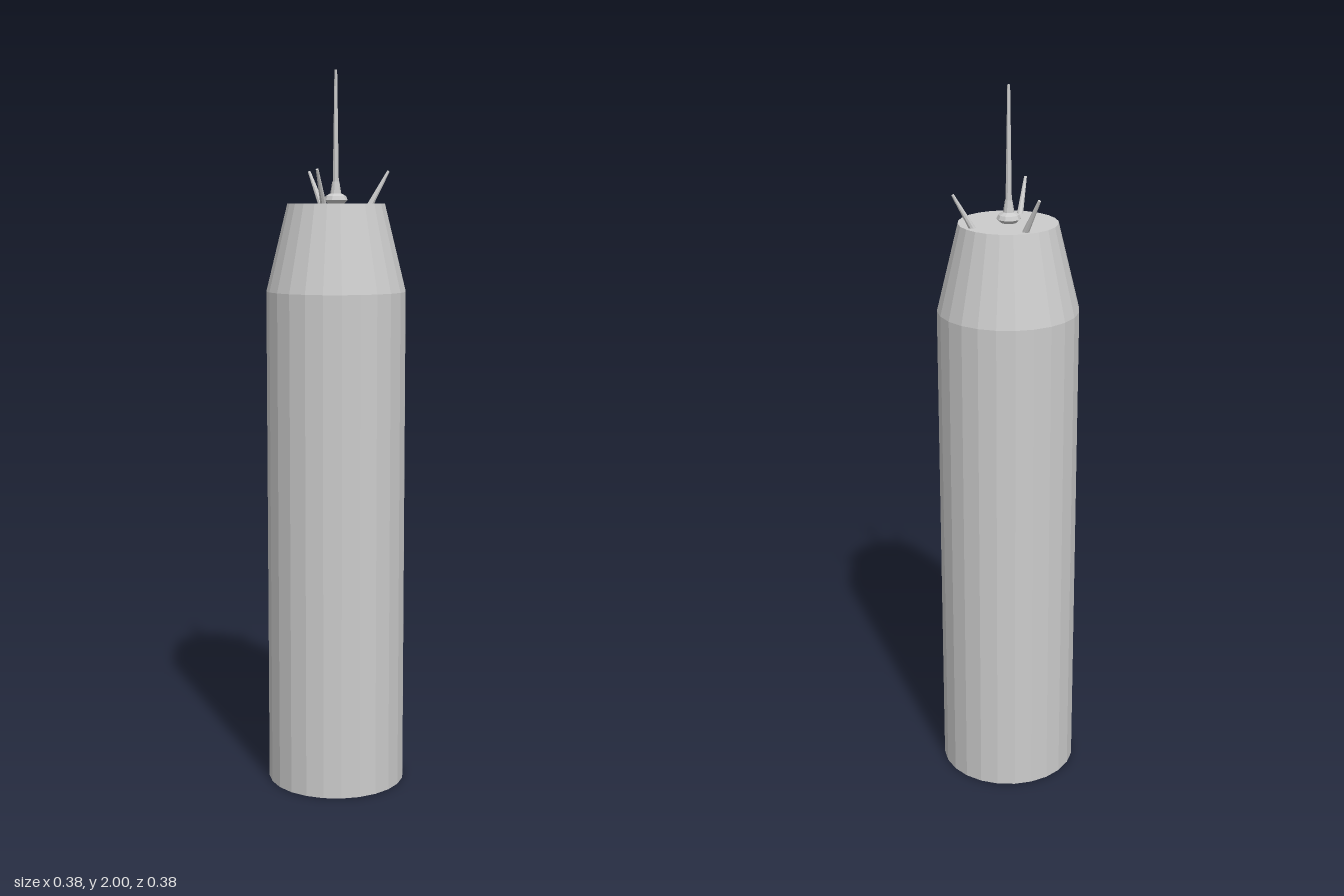
import * as THREE from 'three';

const grey = new THREE.MeshStandardMaterial({ color: 0xcccccc, flatShading: true });

function lathe(name, points, sides, start = 0) {
  const profile = points.map(([r, y]) => new THREE.Vector2(r, y));
  const mesh = new THREE.Mesh(new THREE.LatheGeometry(profile, sides, start), grey);
  mesh.name = name;
  return mesh;
}

// Tapered rod between two points
function rod(name, from, to, r0, r1) {
  const a = new THREE.Vector3(...from), b = new THREE.Vector3(...to);
  const dir = b.clone().sub(a);
  const mesh = new THREE.Mesh(new THREE.CylinderGeometry(r1, r0, dir.length(), 8), grey);
  mesh.position.copy(a).add(b).multiplyScalar(0.5);
  mesh.quaternion.setFromUnitVectors(new THREE.Vector3(0, 1, 0), dir.normalize());
  mesh.name = name;
  return mesh;
}

export function createModel() {
  const model = new THREE.Group();
  model.name = 'tower';

  // Closed shaft with a tapered crown
  model.add(lathe('body', [[0, 0], [0.194, 0], [0.194, 1.4], [0.135, 1.64], [0, 1.64]], 24, Math.PI / 24));

  // Mast rising from a small flared foot
  const antenna = new THREE.Group();
  antenna.name = 'antenna';
  antenna.add(
    lathe('antennaFoot', [[0, 1.635], [0.022, 1.64], [0.033, 1.65], [0.028, 1.661], [0.015, 1.668], [0.01, 1.7], [0, 1.7]], 10),
    lathe('mast', [[0, 1.68], [0.009, 1.68], [0.004, 2], [0, 2]], 8),
  );
  antenna.position.set(-0.001, 0, 0.001);
  model.add(antenna);

  // Three prongs leaning outward from the roof
  model.add(rod('frontProng', [-0.001, 1.635, 0.106], [-0.001, 1.73, 0.16], 0.009, 0.004));
  for (const [name, s] of [['leftProng', 1], ['rightProng', -1]]) {
    model.add(rod(name, [s * 0.071, 1.635, -0.084], [s * 0.117, 1.73, -0.111], 0.009, 0.004));
  }
  return model;
}
